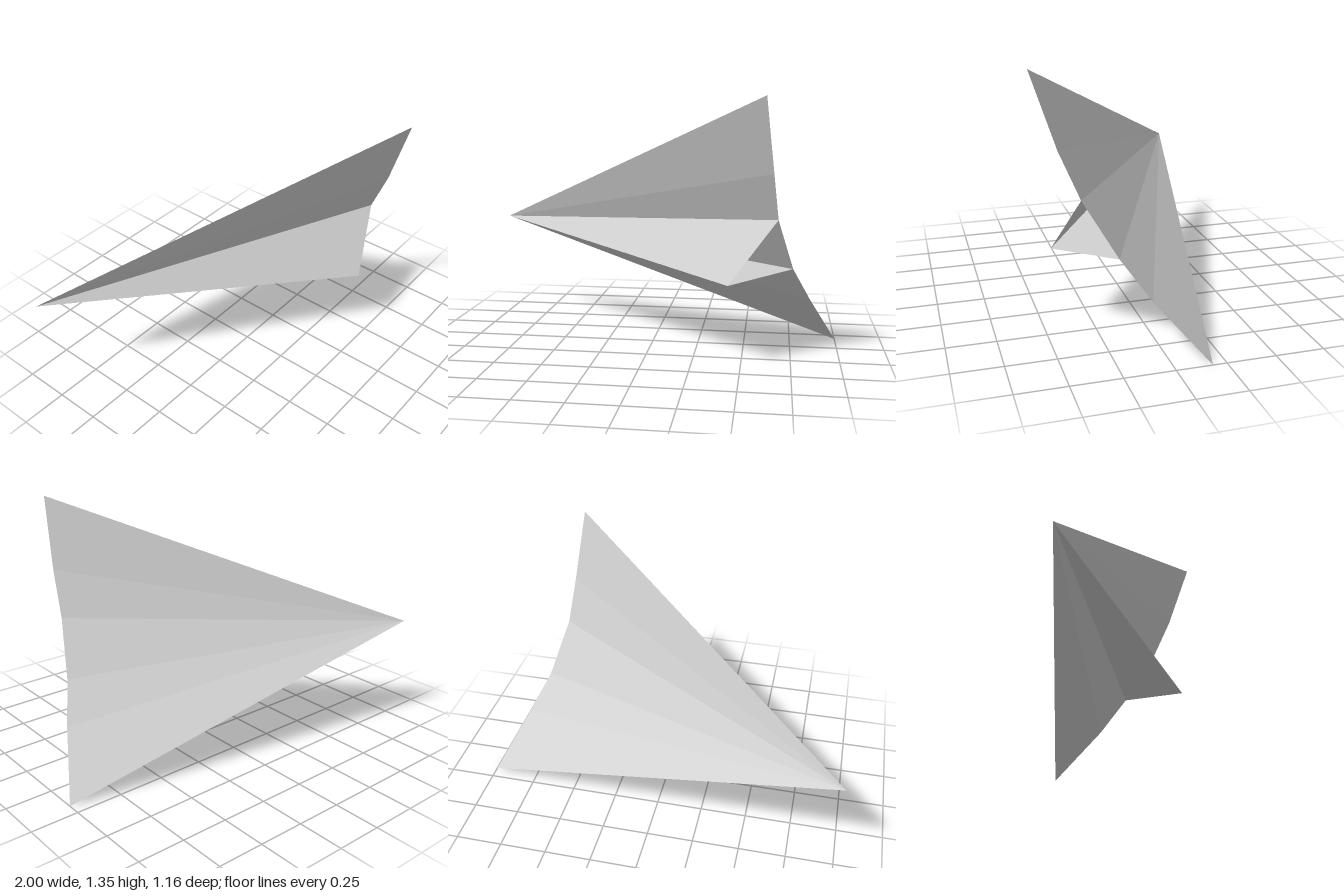
import * as THREE from 'three';

// All panels of the folded paper dart meet at the nose
const nose = [-1, 0.6, -0.58];
const upperTip = [0.61, 1.35, 0.58];
const upperBend = [0.65, 0.98, 0.46];
const upperRoot = [0.675, 0.745, 0.36];
const lowerRoot = [0.755, 0.47, 0.2];
const lowerBend = [0.85, 0.28, 0.065];
const lowerTip = [1, 0, -0.18];
const keelTip = [0.435, 0.43, 0.46];

// Fan of flat triangles from the nose to a trailing edge
function fan(name, edge, material) {
  const points = [];
  for (let i = 0; i < edge.length - 1; i++) points.push(...nose, ...edge[i], ...edge[i + 1]);
  const geometry = new THREE.BufferGeometry();
  geometry.setAttribute('position', new THREE.Float32BufferAttribute(points, 3));
  geometry.computeVertexNormals();
  const mesh = new THREE.Mesh(geometry, material);
  mesh.name = name;
  return mesh;
}

export function createModel() {
  const paper = new THREE.MeshStandardMaterial({ color: 0xcccccc, side: THREE.DoubleSide, flatShading: true });
  paper.name = 'paper';

  const plane = new THREE.Group();
  plane.name = 'paperPlane';
  plane.add(
    // Two bent wings joined by the strip that covers the keel
    fan('upperWing', [upperTip, upperBend, upperRoot], paper),
    fan('centreStrip', [upperRoot, lowerRoot], paper),
    fan('lowerWing', [lowerRoot, lowerBend, lowerTip], paper),
    // V-shaped keel, open at the rear
    fan('keel', [lowerRoot, keelTip, upperRoot], paper),
  );
  return plane;
}
